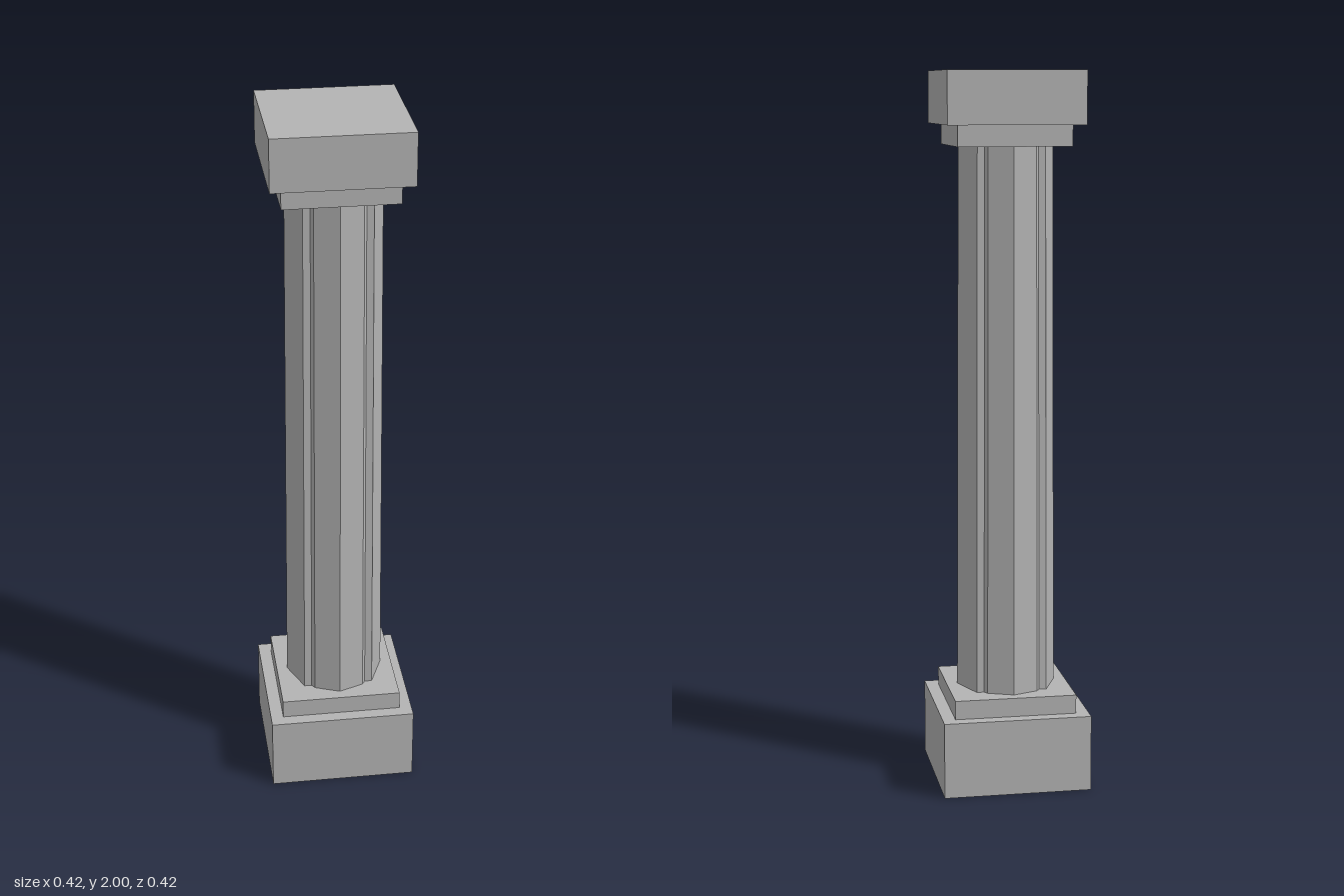
import * as THREE from 'three';

export function createModel() {
  const model = new THREE.Group();
  model.name = 'column';
  const stone = new THREE.MeshStandardMaterial({ color: 0xb3b3b3 });
  stone.name = 'grey stone';

  function add(name, geometry, y) {
    const mesh = new THREE.Mesh(geometry, stone);
    mesh.name = name;
    mesh.position.y = y;
    model.add(mesh);
  }

  // Square slabs: name, half width, bottom, top
  const slabs = [
    ['base', 0.208, 0, 0.215],
    ['baseStep', 0.172, 0.215, 0.268],
    ['capitalStep', 0.157, 1.797, 1.855],
    ['capital', 0.189, 1.855, 2],
  ];
  for (const [name, half, bottom, top] of slabs) {
    add(name, new THREE.BoxGeometry(half * 2, top - bottom, half * 2), (top + bottom) / 2);
  }

  // Eight-sided shaft with a small notch beside each diagonal corner
  const quarter = [[0.141, 0], [0.1, 0.1], [0.079, 0.1], [0.071, 0.113], [0, 0.141]];
  const mirrored = quarter.slice(1, 4).reverse().map(([x, z]) => [-x, z]);
  const half = [...quarter, ...mirrored];
  const outline = [...half, ...half.map(([x, z]) => [-x, -z])];
  const shape = new THREE.Shape(outline.map(([x, z]) => new THREE.Vector2(x, z)));
  const height = 1.797 - 0.268;
  const shaft = new THREE.ExtrudeGeometry(shape, { depth: height, bevelEnabled: false });
  shaft.rotateX(-Math.PI / 2);

  // Taper towards the top
  const p = shaft.attributes.position;
  for (let i = 0; i < p.count; i++) {
    const s = 1 - 0.06 * p.getY(i) / height;
    p.setX(i, p.getX(i) * s);
    p.setZ(i, p.getZ(i) * s);
  }
  shaft.computeVertexNormals();
  add('shaft', shaft, 0.268);

  return model;
}
